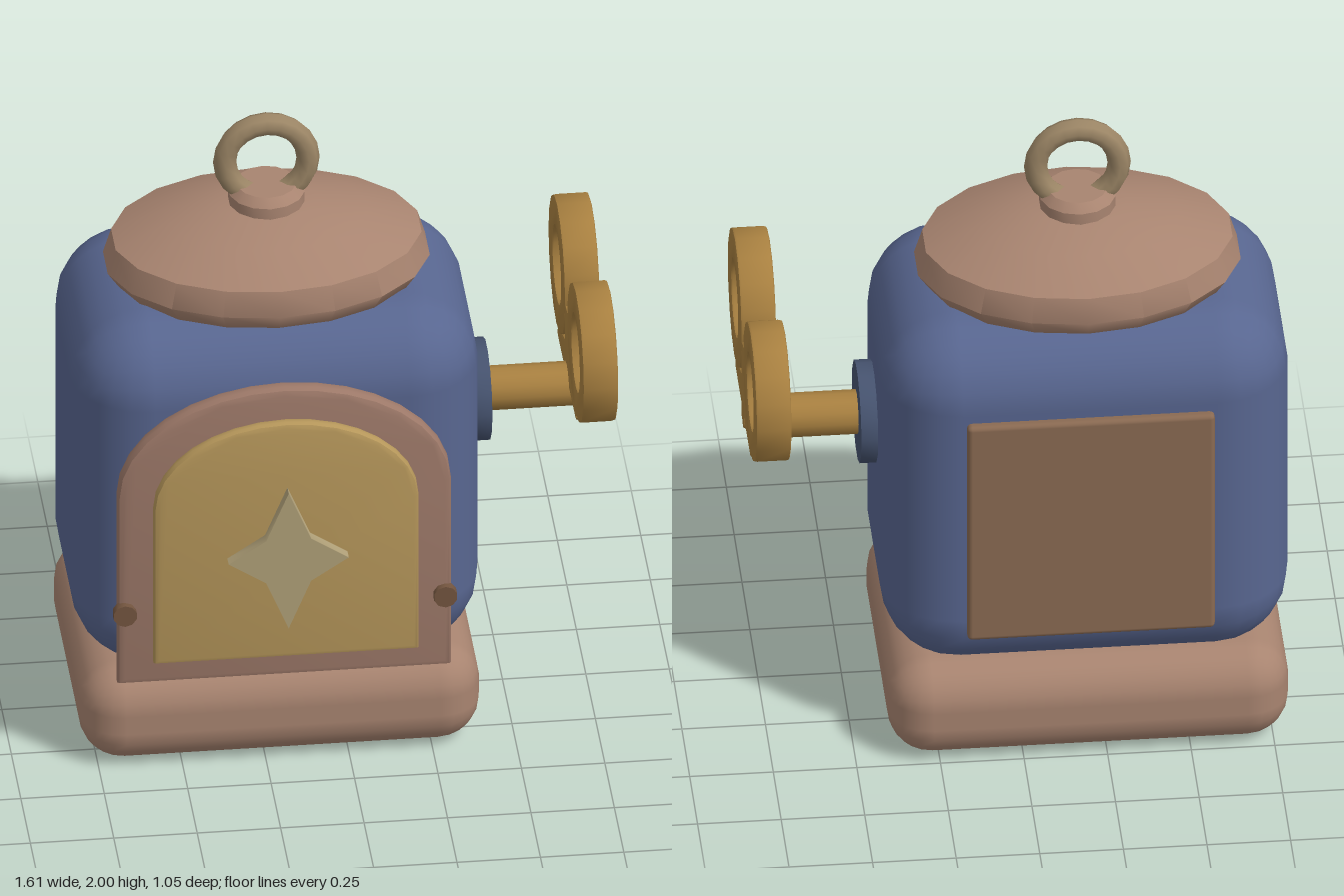
import * as THREE from 'three';
import { RoundedBoxGeometry } from 'three/addons/geometries/RoundedBoxGeometry.js';
import { toCreasedNormals } from 'three/addons/utils/BufferGeometryUtils.js';

const CX = -0.2, CZ = -0.065; // axis of the body
const mat = (color) => new THREE.MeshStandardMaterial({ color });
const clay = mat(0xa88470), blue = mat(0x586690), darkBlue = mat(0x46536f), frameBrown = mat(0x9c7868),
  gold = mat(0xb5965a), pale = mat(0xb0a078), keyGold = mat(0xa88040), ringTan = mat(0x9c8666),
  screwBrown = mat(0x73553f), backBrown = mat(0x8a6a52);

export function createModel() {
  const model = new THREE.Group();
  model.name = 'windUpLantern';

  const add = (name, geometry, material, x = 0, y = 0, z = 0, parent = model) => {
    const mesh = new THREE.Mesh(geometry, material);
    mesh.name = name;
    mesh.position.set(x, y, z);
    parent.add(mesh);
    return mesh;
  };

  // Extrusion whose bevel stays inside the given total depth, starting at z = 0
  const slab = (shape, depth, bevel, curveSegments = 8) => {
    const g = new THREE.ExtrudeGeometry(shape, {
      depth: depth - 2 * bevel, bevelEnabled: bevel > 0, bevelThickness: bevel,
      bevelSize: bevel, bevelOffset: -bevel, bevelSegments: 2, curveSegments,
    });
    g.translate(0, 0, bevel);
    return toCreasedNormals(g, 0.7);
  };

  // Plate with a flat foot and an elliptical arch
  const arch = (halfWidth, bottom, spring, top) => {
    const s = new THREE.Shape();
    s.moveTo(-halfWidth, bottom);
    s.lineTo(halfWidth, bottom);
    s.lineTo(halfWidth, spring);
    s.absellipse(0, spring, halfWidth, top - spring, 0, Math.PI, false, 0);
    s.closePath();
    return s;
  };

  // Base and body
  add('base', new RoundedBoxGeometry(1.2, 0.32, 0.91, 3, 0.13), clay, CX, 0.16, CZ);
  add('body', new RoundedBoxGeometry(1.22, 1.2, 0.85, 3, 0.23), blue, CX, 0.87, CZ);

  // Oval lid
  const lidProfile = [[0, 1.4], [0.7, 1.42], [0.93, 1.46], [1, 1.51], [0.95, 1.59], [0.62, 1.66], [0.3, 1.7], [0, 1.705]]
    .map(([r, y]) => new THREE.Vector2(r, y));
  const lidGeometry = new THREE.LatheGeometry(lidProfile, 18);
  lidGeometry.scale(0.49, 1, 0.367);
  add('lid', toCreasedNormals(lidGeometry, 0.75), clay, CX, 0, CZ);

  // Knob and carrying ring
  const knobProfile = [[0, 1.68], [0.115, 1.68], [0.115, 1.735], [0.09, 1.76], [0, 1.76]]
    .map(([r, y]) => new THREE.Vector2(r, y));
  add('lidKnob', toCreasedNormals(new THREE.LatheGeometry(knobProfile, 14), 0.6), clay, CX, 0, CZ);
  add('carryRing', new THREE.TorusGeometry(0.125, 0.035, 8, 20), ringTan, CX, 1.84, CZ);

  // Front door: frame, panel, star and screws
  add('doorFrame', slab(arch(0.5, 0.325, 0.98, 1.33), 0.06, 0.02), frameBrown, CX, 0, 0.36);
  add('doorPanel', slab(arch(0.397, 0.42, 0.96, 1.24), 0.042, 0.015), gold, CX, 0, 0.427);
  const star = new THREE.Shape();
  for (let i = 0; i < 8; i++) {
    const a = (i * Math.PI) / 4;
    const rx = i % 2 ? 0.095 : 0.18, ry = i % 2 ? 0.105 : 0.237;
    star[i ? 'lineTo' : 'moveTo'](rx * Math.cos(a), ry * Math.sin(a));
  }
  star.closePath();
  add('star', slab(star, 0.035, 0), pale, CX, 0.795, 0.49);
  for (const s of [-1, 1]) {
    const screw = new THREE.CylinderGeometry(0.036, 0.036, 0.03, 10);
    screw.rotateX(Math.PI / 2);
    add('screw', toCreasedNormals(screw, 0.7), screwBrown, CX + s * 0.48, 0.58, 0.425);
  }

  // Back panel
  add('backPanel', new RoundedBoxGeometry(0.74, 0.77, 0.04, 2, 0.015), backBrown, CX, 0.83, -0.497);

  // Wind-up key on the left side
  const key = new THREE.Group();
  key.name = 'windUpKey';
  key.position.set(0, 0, CZ);
  model.add(key);
  const rod = (name, r, x0, x1, y, sides, material) => {
    const g = new THREE.CylinderGeometry(r, r, x1 - x0, sides);
    g.rotateZ(Math.PI / 2);
    return add(name, toCreasedNormals(g, 0.7), material, (x0 + x1) / 2, y, 0, key);
  };
  rod('keyHub', 0.155, 0.39, 0.46, 0.987, 14, darkBlue);
  rod('keyShaft', 0.067, 0.4, 0.745, 0.987, 12, keyGold);
  rod('keyShaftTip', 0.042, 0.74, 0.8, 0.998, 10, keyGold);

  // Flat pieces are drawn in the z-y plane and turned to face +x
  const keyPiece = (name, shape, x0, x1, bevel, z = 0, y = 0) => {
    const g = slab(shape, x1 - x0, bevel);
    g.rotateY(Math.PI / 2);
    return add(name, g, keyGold, x0, y, z, key);
  };
  const loop = new THREE.Shape().absarc(0, 0, 0.213, 0, Math.PI * 2, false);
  loop.holes.push(new THREE.Path().absarc(0, 0, 0.12, 0, Math.PI * 2, true));
  for (const s of [-1, 1]) keyPiece('keyLoop', loop, 0.697, 0.803, 0.008, s * 0.247, 1.25);
  const yoke = new THREE.Shape([[-0.235, 1.005], [0.235, 1.005], [0.25, 1.02], [0.235, 1.04], [0.1, 1.09],
    [0.045, 1.11], [0.045, 1.235], [-0.045, 1.235], [-0.045, 1.11], [-0.1, 1.09], [-0.235, 1.04], [-0.25, 1.02]]
    .map(([x, y]) => new THREE.Vector2(x, y)));
  keyPiece('keyYoke', yoke, 0.7, 0.8, 0.006);
  add('keyStem', new RoundedBoxGeometry(0.06, 0.12, 0.09, 2, 0.02), keyGold, 0.772, 1.02, 0, key);

  return model;
}
